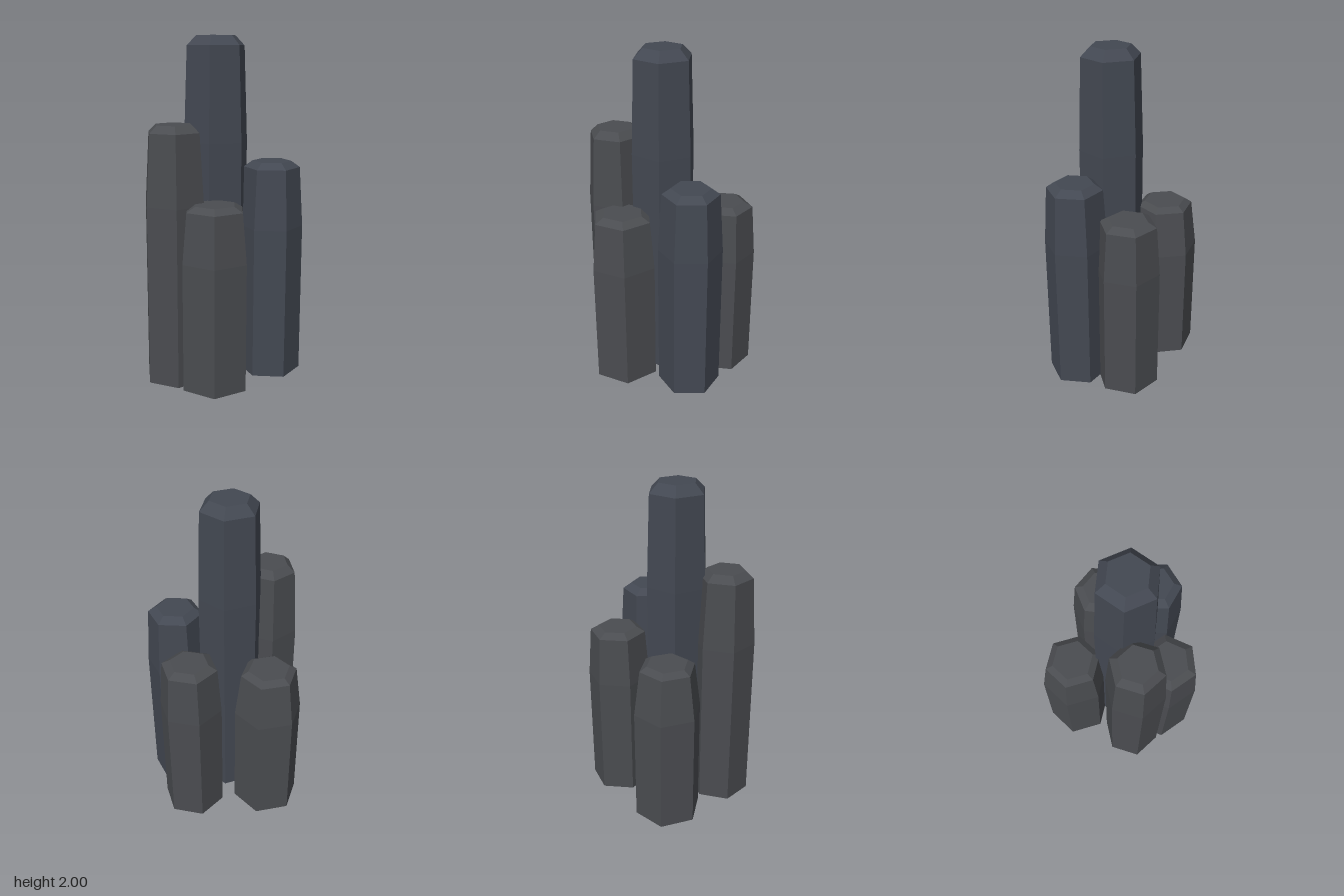
import * as THREE from 'three';

// Six-sided column: straight shaft, gentle taper above 70% height, bevelled cap.
// angle is the direction of one corner, in degrees from +x towards +z.
function makeColumn({ name, x, z, radius, angle, height, shoulder, color }) {
  const profile = [
    [0, 0],
    [radius, 0],
    [radius, height * 0.7],
    [radius * shoulder, height * 0.972],
    [radius * 0.61, height],
    [0, height],
  ].map(([r, y]) => new THREE.Vector2(r, y));
  const start = THREE.MathUtils.degToRad(90 - angle);
  const geometry = new THREE.LatheGeometry(profile, 6, start).toNonIndexed();
  geometry.computeVertexNormals();
  const material = new THREE.MeshStandardMaterial({ color, flatShading: true });
  const mesh = new THREE.Mesh(geometry, material);
  mesh.name = name;
  mesh.position.set(x, 0, z);
  return mesh;
}

export function createModel() {
  const group = new THREE.Group();
  group.name = 'basaltColumns';
  const blueGrey = 0x434852;
  const grey = 0x4a4c50;

  const columns = [
    { name: 'tallColumn', x: -0.036, z: 0.06, radius: 0.194, angle: 19.5, height: 2, shoulder: 0.9, color: blueGrey },
    { name: 'rightColumn', x: -0.33, z: 0.05, radius: 0.186, angle: 1, height: 1.51, shoulder: 0.86, color: grey },
    { name: 'frontLeftColumn', x: 0.198, z: 0.292, radius: 0.186, angle: -17, height: 1.285, shoulder: 0.88, color: blueGrey },
    { name: 'leftColumn', x: 0.321, z: 0, radius: 0.191, angle: -8, height: 1.1, shoulder: 0.88, color: grey },
    { name: 'frontRightColumn', x: -0.216, z: 0.281, radius: 0.206, angle: 8.5, height: 1.075, shoulder: 0.87, color: grey },
    { name: 'backColumn', x: -0.062, z: -0.27, radius: 0.206, angle: 27, height: 1.03, shoulder: 0.82, color: grey },
  ];
  for (const column of columns) group.add(makeColumn(column));
  return group;
}
